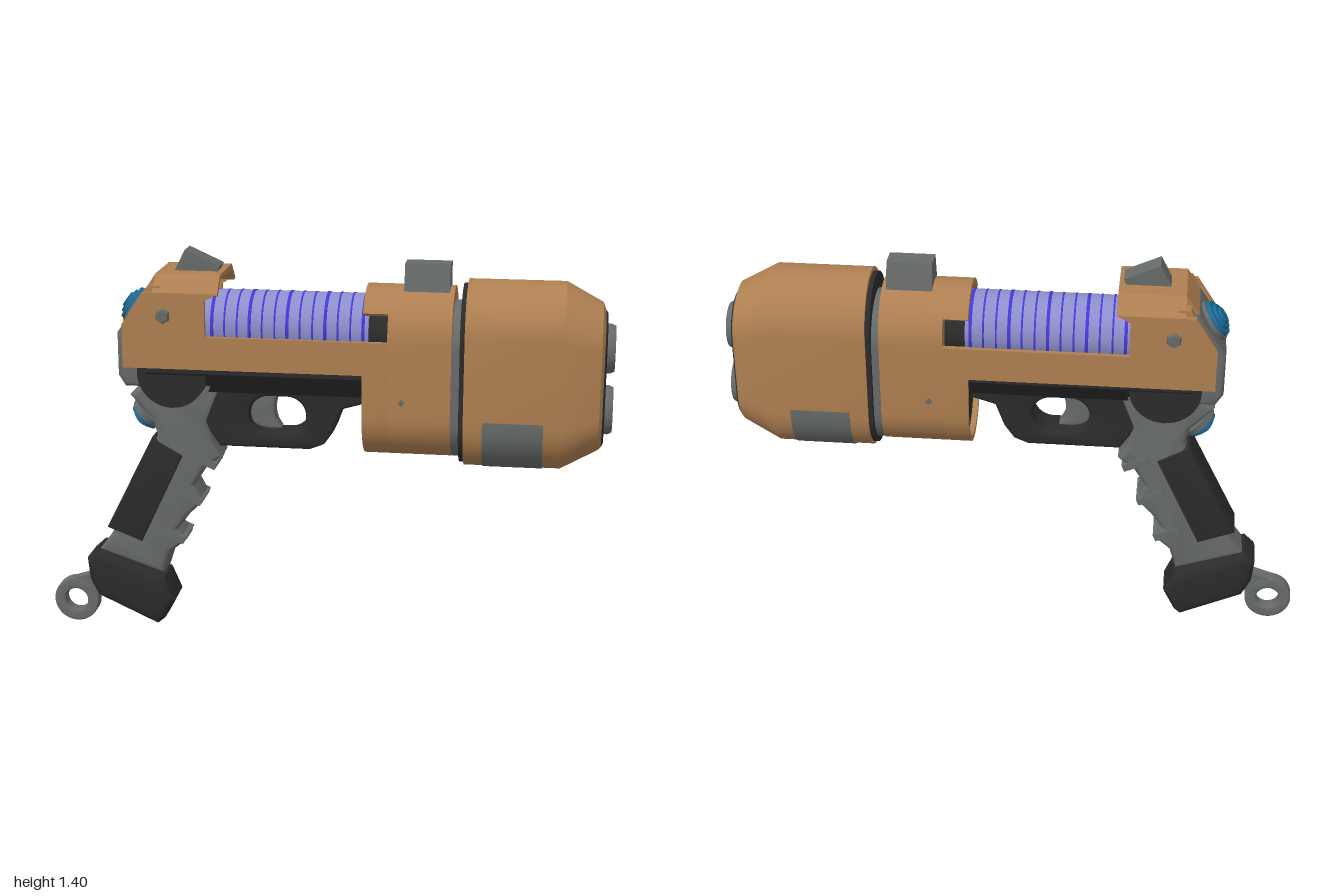
import * as THREE from 'three';
import { toCreasedNormals } from 'three/addons/utils/BufferGeometryUtils.js';

const paint = (name, color) => Object.assign(new THREE.MeshStandardMaterial({ color }), { name });

export function createModel() {
  const tan = paint('tan shell', 0xae7f51);
  const grey = paint('grey metal', 0x666a69);
  const dark = paint('dark polymer', 0x2b2b2b);
  const lavender = paint('lavender glass', 0x8e8ecb);
  const violet = paint('violet glow', 0x4338d6);
  const blue = paint('blue dial', 0x1c6a98);
  const root = new THREE.Group();
  root.name = 'blaster';

  const add = (name, geo, mat, crease = 0.6) => {
    const mesh = new THREE.Mesh(toCreasedNormals(geo, crease), mat);
    mesh.name = name;
    root.add(mesh);
    return mesh;
  };
  const poly = (pts) => new THREE.Shape(pts.map(([x, y]) => new THREE.Vector2(x, y)));

  const extrude = (shape, depth, b) => new THREE.ExtrudeGeometry(shape, {
    depth: depth - 2 * b, bevelEnabled: b > 0, bevelThickness: b, bevelSize: b,
    bevelOffset: -b, bevelSegments: 3, curveSegments: 20,
  }).translate(0, 0, b);
  // side profile (x, y) given thickness across z
  const slab = (name, shape, z0, z1, mat, b = 0) =>
    add(name, extrude(shape, z1 - z0, b).translate(0, 0, z0), mat);
  // end profile (z, y) drawn out along x
  const alongX = (name, shape, x0, x1, mat, b = 0) =>
    add(name, extrude(shape, x1 - x0, b).rotateY(Math.PI / 2).translate(x0, 0, 0), mat);
  // disc facing any direction
  const disc = (name, r0, r1, h, pos, dir, mat, sides = 32) => {
    const m = add(name, new THREE.CylinderGeometry(r1, r0, h, sides), mat);
    m.position.set(...pos);
    m.quaternion.setFromUnitVectors(new THREE.Vector3(0, 1, 0), new THREE.Vector3(...dir).normalize());
    return m;
  };

  const stadium = (hw, y0, y1) => {
    const s = new THREE.Shape();
    s.absarc(0, y1 - hw, hw, 0, Math.PI, false);
    s.absarc(0, y0 + hw, hw, Math.PI, 2 * Math.PI, false);
    return s;
  };
  // curved strip of a rounded shell, with straight ends rising by ext
  const band = (cy, r, t, a0, a1, ext = 0) => {
    const arc = (rad) => {
      const p = [];
      for (let i = 0; i <= 24; i++) {
        const a = a0 + (a1 - a0) * i / 24;
        p.push([rad * Math.cos(a), cy + rad * Math.sin(a)]);
      }
      if (ext) {
        p.unshift([p[0][0], p[0][1] + ext]);
        p.push([p[25][0], p[25][1] + ext]);
      }
      return p;
    };
    return poly([...arc(r), ...arc(r - t).reverse()]);
  };
  // rounded rings [x, halfWidth, bottom, top] joined into one skin
  const loft = (sections, n = 48) => {
    const pos = [], idx = [];
    for (const [x, hw, y0, y1] of sections) {
      for (let j = 0; j < n; j++) {
        const k = j % (n / 2), up = j < n / 2;
        const a = Math.PI * k / (n / 2 - 1) + (up ? 0 : Math.PI);
        pos.push(x, (up ? y1 - hw : y0 + hw) + hw * Math.sin(a), hw * Math.cos(a));
      }
    }
    for (let i = 0; i < sections.length - 1; i++) {
      for (let j = 0; j < n; j++) {
        const a = i * n + j, d = i * n + (j + 1) % n;
        idx.push(a, a + n, d + n, a, d + n, d);
      }
    }
    const g = new THREE.BufferGeometry();
    g.setAttribute('position', new THREE.Float32BufferAttribute(pos, 3));
    g.setIndex(idx);
    g.computeVertexNormals();
    return g;
  };

  // front shroud with tapered nose and hollow mouth
  add('frontShroud', loft([
    [0.5, 0.12, 0.75, 1.24], [0.5, 0.175, 0.67, 1.32], [0.83, 0.175, 0.67, 1.32],
    [0.955, 0.143, 0.74, 1.252], [0.965, 0.127, 0.75, 1.225], [0.93, 0.125, 0.752, 1.223],
  ]), tan, 0.35);
  alongX('muzzleInsert', stadium(0.126, 0.751, 1.224), 0.9, 0.972, dark, 0.012);
  alongX('shroudSeal', stadium(0.168, 0.68, 1.305), 0.484, 0.5, dark);
  alongX('shroudCollar', stadium(0.15, 0.7, 1.245), 0.45, 0.486, grey);
  alongX('shroudBellyPlate', band(0.845, 0.178, 0.006, 0, -Math.PI, 0.02), 0.565, 0.77, grey);

  // twin emitters
  for (const y of [0.88, 1.095]) {
    const ring = [[0.055, 0.92], [0.08, 0.92], [0.085, 0.985], [0.078, 1], [0.062, 1], [0.055, 0.985], [0.055, 0.92]];
    add('emitterRing', new THREE.LatheGeometry(ring.map(([r, h]) => new THREE.Vector2(r, h)), 32)
      .rotateZ(-Math.PI / 2).translate(0, y, 0), grey);
    disc('emitterGlow', 0.056, 0.056, 0.02, [0.966, y, 0], [1, 0, 0], violet);
    add('emitterLens', new THREE.SphereGeometry(0.049, 24, 16).scale(0.45, 1, 1).translate(0.976, y, 0), lavender, 1);
  }

  // middle housing, notched on both sides at its rear
  alongX('midHousing', stadium(0.165, 0.7, 1.295), 0.24, 0.456, tan);
  alongX('midHousingLower', band(0.865, 0.165, 0.02, 0, -Math.PI, 0.26), 0.155, 0.24, tan);
  alongX('midHousingTopLip', band(1.13, 0.165, 0.02, 0.577, Math.PI - 0.577), 0.155, 0.24, tan);
  alongX('midHousingCore', stadium(0.143, 0.722, 1.1), 0.175, 0.24, dark);

  // energy chamber with windings
  disc('energyTube', 0.115, 0.115, 0.6, [-0.13, 1.145, 0], [1, 0, 0], lavender, 48);
  disc('tubeEndCap', 0.105, 0.105, 0.12, [0.22, 1.13, 0], [1, 0, 0], dark);
  for (let i = 0; i < 13; i++) {
    disc('winding', 0.1165, 0.1165, i % 3 ? 0.006 : 0.011, [-0.37 + i * 0.0435, 1.145, 0], [1, 0, 0], violet, 48);
  }

  // receiver under the side panels
  alongX('receiver', poly([[-0.146, 1.07], [-0.146, 0.99], [-0.075, 0.91], [0.075, 0.91], [0.146, 0.99], [0.146, 1.07]]),
    -0.6, 0.2, dark);

  // rear cover: side panels, bent roof and rear slope
  const panel = [[-0.675, 1.01], [0.16, 1.01], [0.16, 1.125], [-0.385, 1.125], [-0.385, 1.25],
    [-0.34, 1.275], [-0.6, 1.275], [-0.675, 1.16]];
  for (const s of [1, -1]) {
    slab('sidePanel', poly(panel), s * 0.156 - 0.009, s * 0.156 + 0.009, tan);
    disc('panelStud', 0.03, 0.022, 0.02, [-0.53, 1.195, s * 0.168], [0, 0, s], grey, 6);
    disc('housingPin', 0.012, 0.012, 0.014, [0.29, 0.92, s * 0.164], [0, 0, s], grey, 4);
  }
  const roof = poly([[-0.165, 1.27], [-0.105, 1.33], [0.105, 1.33], [0.165, 1.27],
    [0.147, 1.265], [0.098, 1.312], [-0.098, 1.312], [-0.147, 1.265]]);
  alongX('coverRoof', roof, -0.565, -0.34, tan);
  slab('coverRearSlope', poly([[-0.61, 1.262], [-0.565, 1.329], [-0.52, 1.329], [-0.52, 1.262]]), -0.106, 0.106, tan);
  for (const s of [1, -1]) {
    slab('coverRearCorner', poly([[-0.605, 1.25], [-0.582, 1.295], [-0.54, 1.295], [-0.54, 1.25]]),
      s * 0.125 - 0.022, s * 0.125 + 0.022, tan);
  }

  // rear plate and its dial
  slab('rearPlate', poly([[-0.68, 0.93], [-0.705, 0.97], [-0.705, 1.12], [-0.605, 1.268], [-0.4, 1.268], [-0.4, 0.93]]),
    -0.125, 0.125, grey, 0.02);
  const dial = (name, x, y, dx, dy, r) => {
    [[r * 1.15, 0, grey], [r, 0.014, blue], [r * 0.72, 0.024, blue], [r * 0.45, 0.032, blue]].forEach(([rad, o, m], i) =>
      disc(name + (i ? 'Step' : 'Base'), rad, rad * 0.94, 0.022, [x + dx * o, y + dy * o, 0], [dx, dy, 0], m));
  };
  dial('rearDial', -0.658, 1.192, -0.82, 0.57, 0.066);
  dial('gripDial', -0.628, 0.805, -0.7, -0.7, 0.058);

  // sights
  alongX('frontSight', poly([[-0.062, 1.28], [-0.038, 1.375], [0.038, 1.375], [0.062, 1.28]]), 0.285, 0.44, grey);
  slab('rearSight', poly([[-0.515, 1.325], [-0.475, 1.402], [-0.355, 1.348], [-0.365, 1.325]]), -0.04, 0.04, grey);

  // trigger guard with rounded opening, and trigger
  const guard = poly([[-0.42, 0.95], [0.16, 0.95], [0.16, 0.885], [0.075, 0.86], [0.045, 0.78],
    [0.01, 0.73], [-0.04, 0.71], [-0.36, 0.71], [-0.42, 0.8]]);
  const hole = new THREE.Path();
  hole.absarc(-0.12, 0.83, 0.067, -Math.PI / 2, Math.PI / 2, false);
  hole.absarc(-0.185, 0.83, 0.067, Math.PI / 2, Math.PI * 1.5, false);
  guard.holes.push(hole);
  slab('triggerGuard', guard, -0.065, 0.065, dark, 0.012);
  const trigger = new THREE.Shape();
  trigger.moveTo(-0.26, 0.91);
  trigger.lineTo(-0.15, 0.91);
  trigger.quadraticCurveTo(-0.19, 0.83, -0.145, 0.775);
  trigger.quadraticCurveTo(-0.21, 0.76, -0.26, 0.8);
  slab('trigger', trigger, -0.03, 0.03, grey, 0.008);

  // grip with finger grooves, side hub and dark back strap
  slab('grip', poly([[-0.68, 0.885], [-0.62, 0.93], [-0.345, 0.945], [-0.40, 0.8], [-0.385, 0.72], [-0.355, 0.67],
    [-0.41, 0.63], [-0.455, 0.56], [-0.425, 0.5], [-0.475, 0.45], [-0.52, 0.39], [-0.49, 0.35],
    [-0.55, 0.3], [-0.575, 0.22], [-0.81, 0.3], [-0.765, 0.36], [-0.585, 0.74], [-0.6, 0.8]]),
  -0.07, 0.07, grey, 0.018);
  slab('gripInset', poly([[-0.602, 0.735], [-0.488, 0.672], [-0.648, 0.337], [-0.778, 0.388]]), -0.074, 0.074, dark, 0.012);
  for (const [x, y] of [[-0.42, 0.655], [-0.475, 0.518], [-0.54, 0.37]]) {
    const rib = add('fingerRib', new THREE.BoxGeometry(0.1, 0.026, 0.15), grey);
    rib.position.set(x, y, 0);
    rib.rotation.z = -0.41;
  }
  disc('gripHub', 0.122, 0.122, 0.28, [-0.51, 0.987, 0], [0, 0, 1], dark, 40);
  disc('gripHubRim', 0.138, 0.138, 0.2, [-0.51, 0.987, 0], [0, 0, 1], grey, 40);

  // pommel and lanyard ring
  slab('pommel', poly([[-0.82, 0.3], [-0.858, 0.265], [-0.85, 0.185], [-0.82, 0.125], [-0.6, 0.024],
    [-0.575, 0.045], [-0.536, 0.12], [-0.572, 0.205]]), -0.087, 0.087, dark, 0.03);
  const loop = new THREE.Shape();
  loop.absarc(-0.917, 0.083, 0.083, 0, Math.PI * 2, false);
  loop.holes.push(new THREE.Path().absarc(-0.917, 0.083, 0.042, 0, Math.PI * 2, true));
  slab('lanyardRing', loop, -0.025, 0.025, grey, 0.006);
  slab('lanyardArm', poly([[-0.93, 0.162], [-0.845, 0.19], [-0.8, 0.19], [-0.81, 0.12], [-0.85, 0.11], [-0.88, 0.14]]),
    -0.024, 0.024, grey);

  return root;
}
